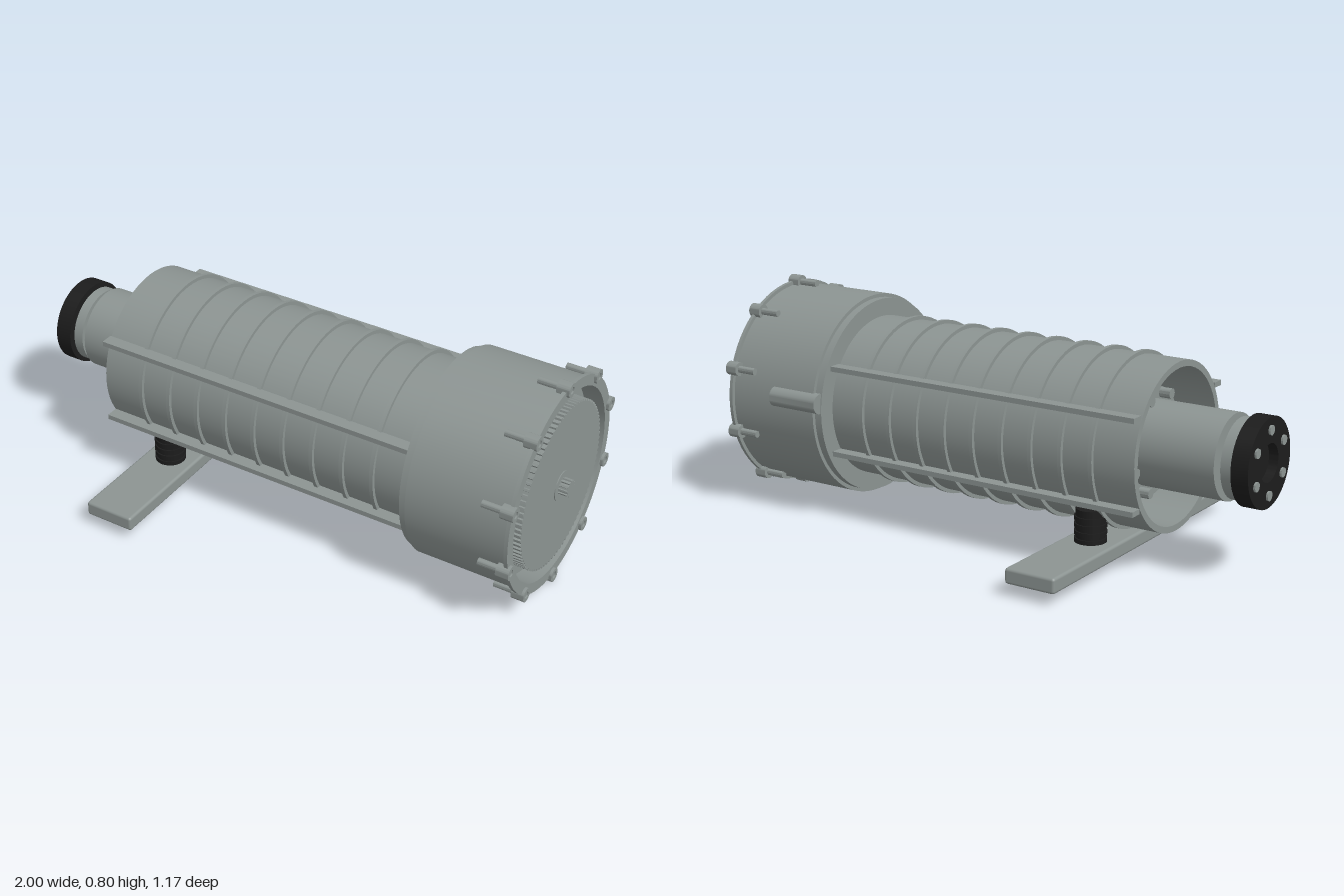
import * as THREE from 'three';
import { toCreasedNormals } from 'three/addons/utils/BufferGeometryUtils.js';
import { RoundedBoxGeometry } from 'three/addons/geometries/RoundedBoxGeometry.js';

const AXIS_Y = 0.402;

export function createModel() {
  const grey = new THREE.MeshStandardMaterial({ color: 0x8c9492 });
  grey.name = 'grey metal';
  const black = new THREE.MeshStandardMaterial({ color: 0x1c1c1c });
  black.name = 'black rubber';

  const model = new THREE.Group();
  const body = new THREE.Group(); // everything turned about the long x axis
  body.name = 'body';
  body.position.y = AXIS_Y;
  model.add(body);

  const add = (parent, name, geo, mat, x = 0, y = 0, z = 0) => {
    const mesh = new THREE.Mesh(geo, mat);
    mesh.name = name;
    mesh.position.set(x, y, z);
    parent.add(mesh);
    return mesh;
  };

  // Turned part: profile of [radius, x], outer side running towards +x
  const turn = (name, profile, mat, segments = 64, y = 0, z = 0) => {
    const geo = new THREE.LatheGeometry(profile.map(([r, x]) => new THREE.Vector2(r, x)), segments);
    geo.rotateZ(-Math.PI / 2);
    return add(body, name, toCreasedNormals(geo, 0.6), mat, 0, y, z);
  };
  const rod = (name, r, x0, x1, mat, y = 0, z = 0, segments = 48) =>
    turn(name, [[0, x0], [r, x0], [r, x1], [0, x1]], mat, segments, y, z);
  const hoop = (name, rIn, rOut, x0, x1, mat) =>
    turn(name, [[rIn, x0], [rOut, x0], [rOut, x1], [rIn, x1], [rIn, x0]], mat);

  // Toothed disc extruded along x
  const gear = (name, teeth, rIn, rOut, x0, x1) => {
    const pts = [];
    for (let i = 0; i < teeth; i++) {
      [[0, rIn], [0.45, rIn], [0.55, rOut], [0.9, rOut]].forEach(([f, r]) => {
        const a = ((i + f) / teeth) * Math.PI * 2;
        pts.push(new THREE.Vector2(r * Math.cos(a), r * Math.sin(a)));
      });
    }
    const geo = new THREE.ExtrudeGeometry(new THREE.Shape(pts), { depth: x1 - x0, bevelEnabled: false });
    geo.rotateY(Math.PI / 2);
    return add(body, name, geo, grey, x0);
  };

  // Main barrel, open at the left end, with its ribs
  turn('barrel', [[0, -0.45], [0.268, -0.45], [0.268, -0.663], [0.29, -0.663], [0.29, 0.57]], grey);
  for (let i = 0; i < 9; i++) {
    const x = -0.505 + i * 0.1163;
    hoop('barrelRib', 0.28, 0.303, x - 0.007, x + 0.007, grey);
  }

  // Four long rails
  for (const sy of [-1, 1]) {
    for (const sz of [-1, 1]) {
      add(body, 'rail', new THREE.BoxGeometry(1.225, 0.018, 0.045), grey, -0.05, sy * 0.155, sz * 0.273);
    }
  }

  // Large head with recessed front
  turn('head', [[0.27, 0.56], [0.353, 0.56], [0.353, 0.588], [0.366, 0.588], [0.366, 0.95], [0.379, 0.95],
    [0.379, 0.963], [0.34, 0.963], [0.34, 0.89], [0, 0.89]], grey, 72);
  gear('gearWheel', 90, 0.289, 0.296, 0.88, 0.966);
  hoop('hubWasher', 0.025, 0.053, 0.96, 0.969, grey);
  gear('shaftSpline', 12, 0.026, 0.031, 0.95, 1.0);
  rod('sideBoss', 0.036, 0.564, 0.767, grey, 0.04, -0.353, 24);

  // Bolts around the head
  for (let i = 0; i < 10; i++) {
    const a = (i / 10) * Math.PI * 2;
    const y = 0.375 * Math.cos(a), z = 0.375 * Math.sin(a);
    hoop('boltLug', 0.0125, 0.025, 0.927, 0.973, grey).position.set(0, y, z);
    rod('bolt', 0.0125, 0.856, 0.968, grey, y, z, 12);
  }

  // Neck inside the open end, held by a bolted plate
  rod('neck', 0.147, -0.87, -0.45, grey);
  rod('neckPlate', 0.19, -0.56, -0.45, grey);
  for (let i = 0; i < 8; i++) {
    const a = ((i + 0.5) / 8) * Math.PI * 2;
    rod('neckBolt', 0.018, -0.6, -0.55, grey, 0.17 * Math.cos(a), 0.17 * Math.sin(a), 12);
  }

  // Coupling: core, grooved grey disc and black end ring
  rod('couplingCore', 0.07, -0.96, -0.86, black);
  rod('couplingStep', 0.11, -0.932, -0.878, grey);
  hoop('couplingDisc', 0.06, 0.137, -0.925, -0.888, grey);
  hoop('endRing', 0.065, 0.153, -0.993, -0.932, black);
  for (let i = 0; i < 6; i++) {
    const a = (i / 6) * Math.PI * 2;
    rod('couplingBolt', 0.017, -1.0, -0.98, grey, 0.11 * Math.cos(a), 0.11 * Math.sin(a), 12);
  }

  // Cross foot on two ribbed rubber mounts
  add(model, 'footBar', new RoundedBoxGeometry(0.187, 0.054, 1.166, 2, 0.01), grey, -0.457, 0.07, 0);
  for (const s of [-1, 1]) {
    const mount = new THREE.Group();
    mount.name = 'rubberMount';
    mount.position.set(-0.457, 0, s * 0.21);
    model.add(mount);
    add(mount, 'mountPost', new THREE.CylinderGeometry(0.05, 0.05, 0.12, 32), black, 0, 0.152, 0);
    for (let i = 0; i < 4; i++) {
      add(mount, 'mountRib', new THREE.CylinderGeometry(0.055, 0.055, 0.015, 32), black, 0, 0.105 + i * 0.025, 0);
    }
  }
  return model;
}
